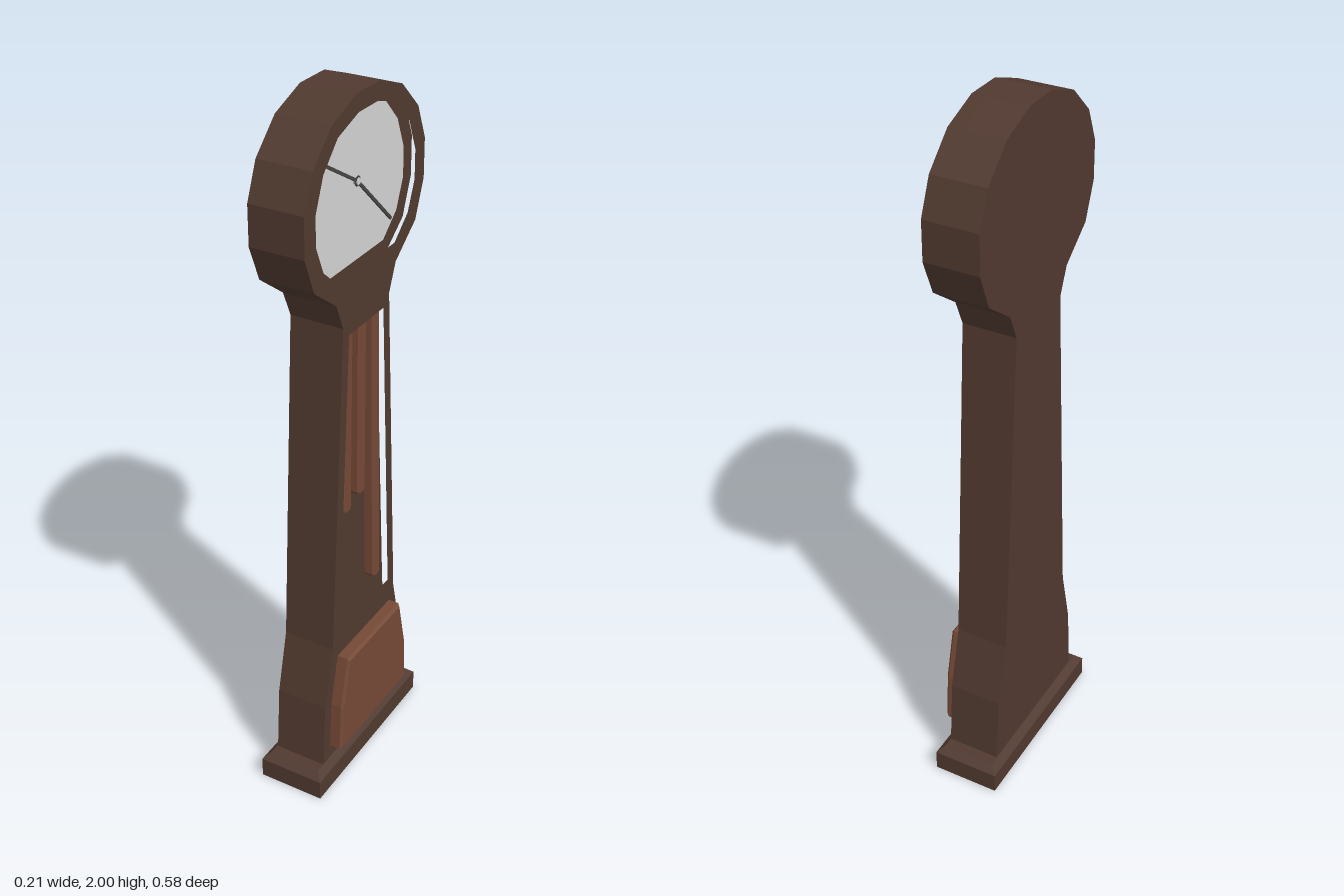
import * as THREE from 'three';

const mat = (name, color, extra = {}) => Object.assign(new THREE.MeshStandardMaterial({ color, ...extra }), { name });

// Closed outline from its right half, listed from top to bottom
const mirrored = (half) => [...half, ...half.slice().reverse().map(([x, y]) => [-x, y])]
  .map(([x, y]) => new THREE.Vector2(x, y));

export function createModel() {
  const darkWood = mat('darkWood', 0x50392f);
  const redWood = mat('redWood', 0x754936);
  const dialWhite = mat('dialWhite', 0xd4d4d4);
  const handGrey = mat('handGrey', 0x484644);

  const clock = new THREE.Group();
  clock.name = 'longcaseClock';
  const add = (name, geometry, material) => {
    const mesh = new THREE.Mesh(geometry, material);
    mesh.name = name;
    clock.add(mesh);
    return mesh;
  };

  // Extrusion between two depths, with an optional chamfer on the front edge
  const slab = (shape, z0, z1, bevel = 0) => new THREE.ExtrudeGeometry(shape, {
    depth: z1 - z0 - 2 * bevel, bevelEnabled: bevel > 0, bevelSegments: 1,
    bevelSize: bevel, bevelThickness: bevel, bevelOffset: -bevel,
  }).translate(0, 0, z0 + bevel);

  // Case outline: round head, narrow neck, widening trunk
  const outline = mirrored([
    [0.055, 2], [0.165, 1.96], [0.25, 1.88], [0.29, 1.785], [0.29, 1.677], [0.25, 1.577],
    [0.148, 1.5], [0.116, 1.425], [0.172, 0.46], [0.215, 0.28], [0.23, 0.07],
  ]);
  const dialOutline = mirrored([
    [0.045, 1.953], [0.14, 1.922], [0.205, 1.855], [0.24, 1.77], [0.24, 1.69], [0.207, 1.612], [0.14, 1.555],
  ]);
  const trunkOpening = mirrored([[0.087, 1.395], [0.137, 0.5]]);
  const FLOOR = 0.03, FRONT = 0.067;

  add('caseBack', slab(new THREE.Shape(outline), -0.085, FLOOR), darkWood);
  const frontShape = new THREE.Shape(outline);
  frontShape.holes.push(new THREE.Path(dialOutline), new THREE.Path(trunkOpening));
  add('caseFront', slab(frontShape, FLOOR, FRONT), darkWood);

  // Dial, hands and hub
  add('dial', slab(new THREE.Shape(dialOutline), FLOOR, FLOOR + 0.004), dialWhite);
  const hub = new THREE.Vector2(-0.005, 1.766);
  const hand = (name, x, y, width) => {
    const d = new THREE.Vector2(x, y).sub(hub);
    const geometry = new THREE.BoxGeometry(d.length(), width, 0.005).translate(d.length() / 2, 0, 0);
    const mesh = add(name, geometry, handGrey);
    mesh.position.set(hub.x, hub.y, FLOOR + 0.011);
    mesh.rotation.z = d.angle();
  };
  hand('hourHand', -0.15, 1.852, 0.008);
  hand('minuteHand', 0.165, 1.607, 0.008);
  add('handHub', new THREE.TorusGeometry(0.011, 0.003, 4, 10).translate(hub.x, hub.y, FLOOR + 0.012), handGrey);
  add('hubCap', new THREE.CylinderGeometry(0.009, 0.009, 0.012, 10).rotateX(Math.PI / 2)
    .translate(hub.x, hub.y, FLOOR + 0.01), dialWhite);

  // Hanging weights: top centre, bottom centre
  const W = 0.019;
  [[-0.07, -0.076, 0.855], [-0.002, -0.002, 0.875], [0.066, 0.086, 0.545]].forEach(([top, bottom, y], i) => {
    const shape = new THREE.Shape([
      [top - W, 1.395], [bottom - W, y + 0.012], [bottom - W + 0.008, y],
      [bottom + W - 0.008, y], [bottom + W, y + 0.008], [top + W, 1.395],
    ].map(([px, py]) => new THREE.Vector2(px, py)));
    add('weight' + (i + 1), slab(shape, FLOOR - 0.005, FLOOR + 0.028, 0.004), redWood);
  });

  // Raised lower panel
  const panel = mirrored([[0.147, 0.42], [0.182, 0.27], [0.19, 0.122]]);
  add('lowerPanel', slab(new THREE.Shape(panel), FRONT - 0.008, 0.105, 0.007), redWood);

  // Plinth with a chamfered top
  add('plinth', new THREE.BoxGeometry(0.56, 0.06, 0.194).translate(0, 0.03, -0.01), darkWood);
  const cap = new THREE.BoxGeometry(0.56, 0.02, 0.194);
  const p = cap.attributes.position;
  for (let i = 0; i < p.count; i++) {
    if (p.getY(i) > 0) p.setXYZ(i, p.getX(i) * 0.52 / 0.56, p.getY(i), p.getZ(i) * 0.155 / 0.194);
  }
  cap.computeVertexNormals();
  add('plinthCap', cap.translate(0, 0.07, -0.01), darkWood);

  // The dial looks along +x
  clock.rotation.y = Math.PI / 2;
  const model = new THREE.Group();
  model.add(clock);
  return model;
}
